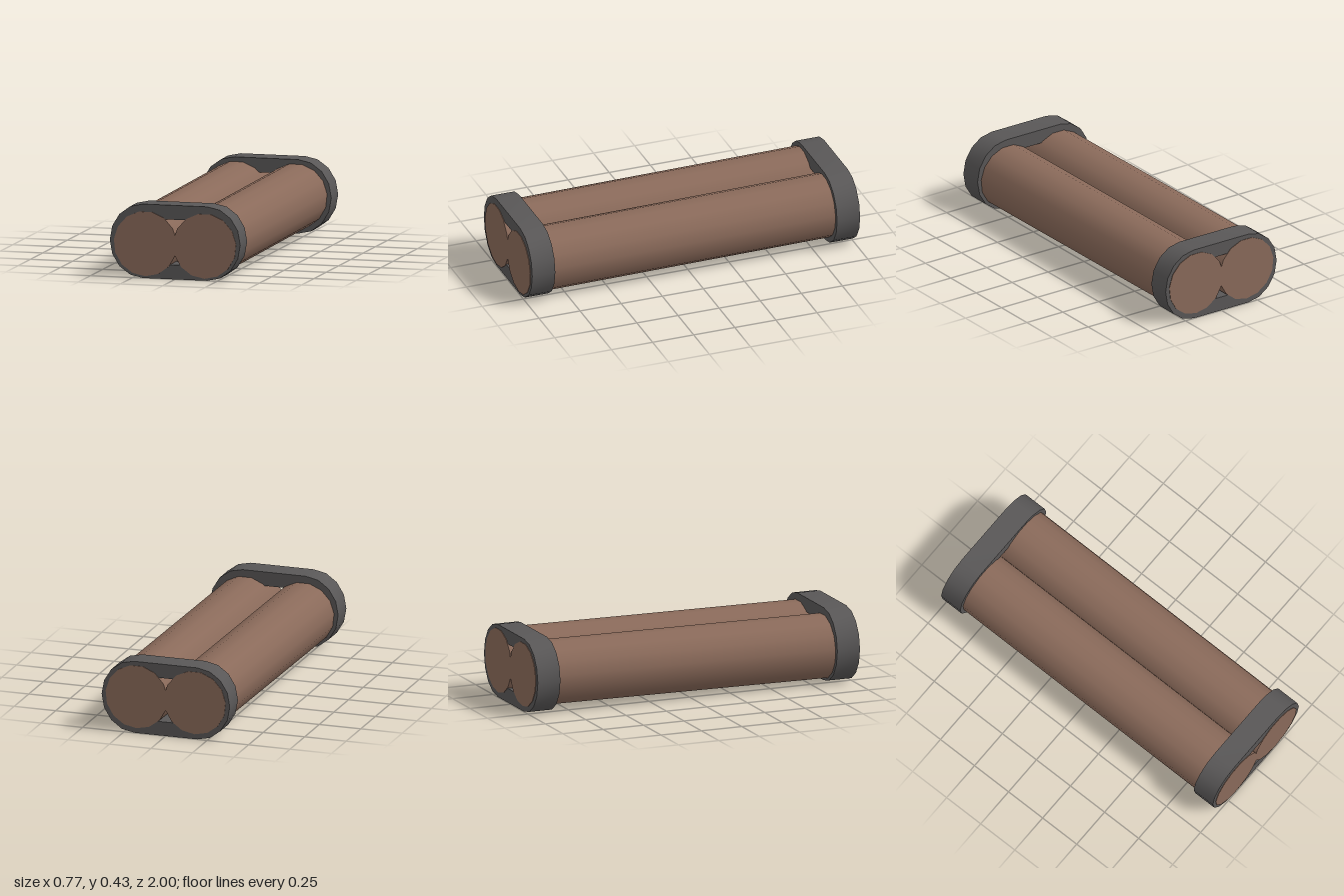
import * as THREE from 'three';
import { toCreasedNormals } from 'three/addons/utils/BufferGeometryUtils.js';

// Stadium outline: two half ellipses joined by straight sides
function stadium(path, cx, rx, ry) {
  path.moveTo(cx, -ry);
  path.absellipse(cx, 0, rx, ry, -Math.PI / 2, Math.PI / 2, false, 0);
  path.absellipse(-cx, 0, rx, ry, Math.PI / 2, Math.PI * 1.5, false, 0);
  path.closePath();
  return path;
}

export function createModel() {
  const model = new THREE.Group();
  model.name = 'twinTubes';
  const brown = new THREE.MeshStandardMaterial({ color: 0x8a6a5a });
  brown.name = 'brown';
  const darkGrey = new THREE.MeshStandardMaterial({ color: 0x595757 });
  darkGrey.name = 'dark grey';

  // Two 15-sided tubes side by side, rising slightly towards the back
  const tubeGeo = new THREE.CylinderGeometry(0.187, 0.187, 2, 15);
  tubeGeo.rotateX(Math.PI / 2);
  const pos = tubeGeo.attributes.position;
  for (let i = 0; i < pos.count; i++) pos.setY(i, pos.getY(i) - 0.009 * pos.getZ(i));
  for (const side of [-1, 1]) {
    const tube = new THREE.Mesh(tubeGeo, brown);
    tube.name = side > 0 ? 'leftTube' : 'rightTube';
    tube.position.set(side * 0.175, 0.208, 0);
    model.add(tube);
  }

  // Stadium-shaped band with an opening around each end
  const outline = stadium(new THREE.Shape(), 0.19, 0.196, 0.2125);
  outline.holes.push(stadium(new THREE.Path(), 0.19, 0.115, 0.13));
  const depth = 0.14;
  const bandGeo = toCreasedNormals(
    new THREE.ExtrudeGeometry(outline, { depth, bevelEnabled: false, curveSegments: 4 }), 0.6);
  bandGeo.translate(0, 0, -depth / 2);
  for (const end of [-1, 1]) {
    const band = new THREE.Mesh(bandGeo, darkGrey);
    band.name = end > 0 ? 'frontBand' : 'backBand';
    band.position.set(0, 0.2135, end * (0.997 - depth / 2));
    model.add(band);
  }
  return model;
}
